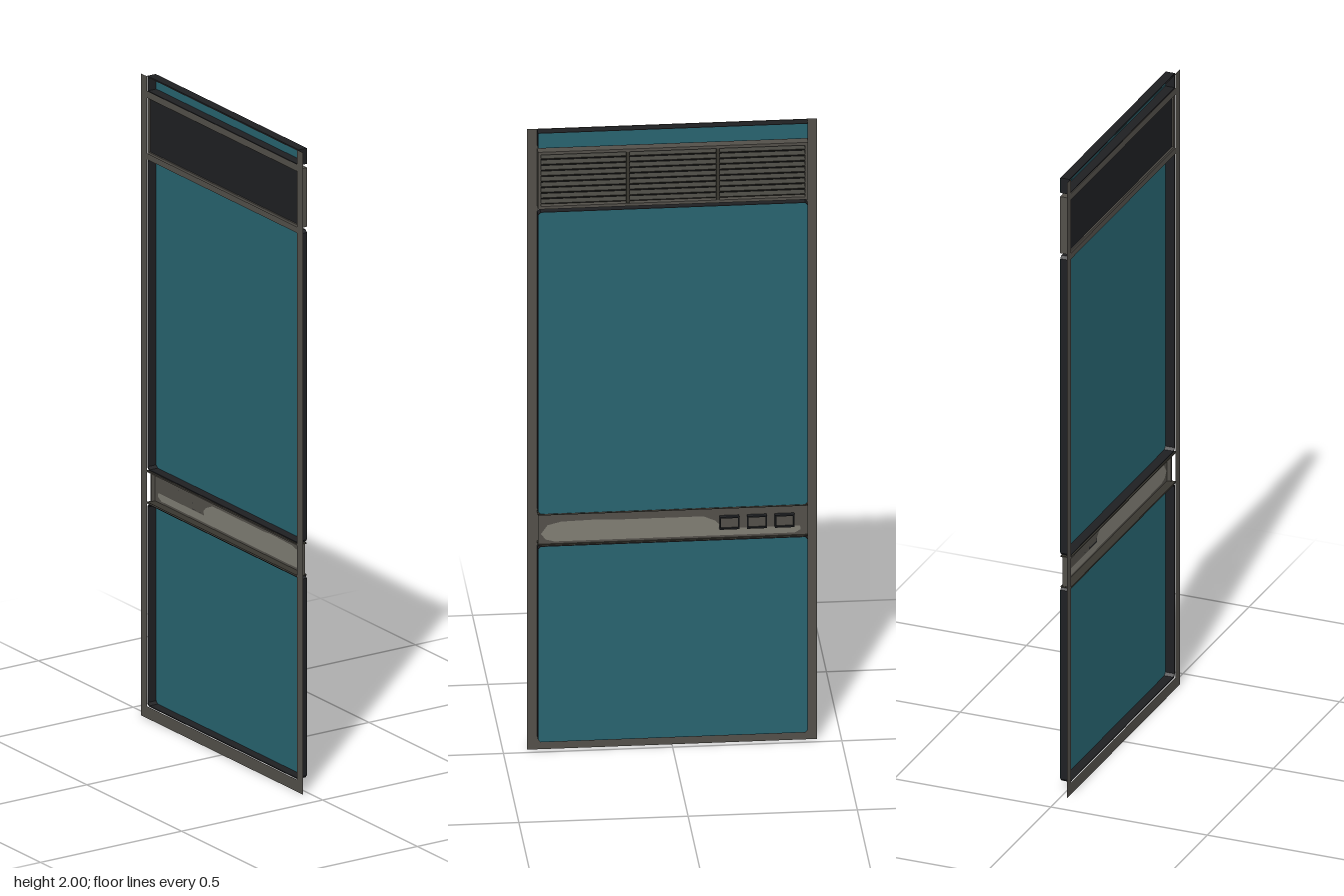
import * as THREE from 'three';

const mat = (name, color) => {
  const m = new THREE.MeshStandardMaterial({ color, side: THREE.DoubleSide, flatShading: true });
  m.name = name;
  return m;
};

export function createModel() {
  const root = new THREE.Group();
  root.name = 'wallPanel';
  const teal = mat('teal', 0x27636f);
  const grey = mat('warmGrey', 0x524f49);
  const pale = mat('paleGrey', 0x7f7d73);
  const black = mat('nearBlack', 0x1e1f22);
  const slatGrey = mat('slatGrey', 0x38362f);

  // Shapes are drawn in (u, y) with u = -z, then turned to face +x.
  const add = (parent, name, geo, material, x = 0) => {
    const mesh = new THREE.Mesh(geo.rotateY(Math.PI / 2), material);
    mesh.name = name;
    mesh.position.x = x;
    parent.add(mesh);
    return mesh;
  };
  const points = (list) => list.map(([u, y]) => new THREE.Vector2(u, y));
  // Rectangle with cut corners
  const outline = (u0, u1, y0, y1, c = 0) => points(c === 0
    ? [[u0, y0], [u1, y0], [u1, y1], [u0, y1]]
    : [[u0 + c, y0], [u1 - c, y0], [u1, y0 + c], [u1, y1 - c],
       [u1 - c, y1], [u0 + c, y1], [u0, y1 - c], [u0, y0 + c]]);
  const sheet = (pts, holes = []) => {
    const s = new THREE.Shape(pts);
    holes.forEach((h) => s.holes.push(new THREE.Path(h)));
    return s;
  };
  const rim = (u0, u1, y0, y1, c, t, depth) => new THREE.ExtrudeGeometry(
    sheet(outline(u0, u1, y0, y1, c), [outline(u0 + t, u1 - t, y0 + t, y1 - t, c)]),
    { depth, bevelEnabled: false });
  const box = (parent, name, material, x, y, z, sx, sy, sz) => {
    const mesh = new THREE.Mesh(new THREE.BoxGeometry(sx, sy, sz), material);
    mesh.name = name;
    mesh.position.set(x, y, z);
    parent.add(mesh);
    return mesh;
  };

  // Flat backing frame with openings behind every panel
  const openings = [[0.035, 0.672], [0.672, 0.768], [0.768, 1.742], [1.758, 1.934], [1.953, 1.999]];
  add(root, 'backFrame', new THREE.ShapeGeometry(sheet(outline(-0.428, 0.428, 0, 2),
    openings.map(([a, b]) => outline(-0.396, 0.396, a + 0.002, b - 0.001)))), grey, -0.021);

  // Hollow teal panels: dark side walls and a thin front sheet
  [['lowerPanel', 0.037, 0.668, 0.008], ['upperPanel', 0.772, 1.745, 0.008], ['topPanel', 1.951, 2, 0]]
    .forEach(([name, y0, y1, c]) => {
      const g = new THREE.Group();
      g.name = name;
      add(g, name + 'Walls', rim(-0.399, 0.399, y0, y1, c, 0.003, 0.029), black, -0.017);
      add(g, name + 'Face', new THREE.ShapeGeometry(
        sheet(outline(-0.398, 0.398, y0 + 0.001, y1 - 0.001, c))), teal, 0.0128);
      root.add(g);
    });

  // Ventilation grille
  const vent = new THREE.Group();
  vent.name = 'ventGrille';
  root.add(vent);
  add(vent, 'ventCasing', rim(-0.399, 0.399, 1.755, 1.939, 0, 0.009, 0.03), grey, -0.017);
  add(vent, 'ventBacking', new THREE.ShapeGeometry(
    sheet(outline(-0.392, 0.392, 1.762, 1.932))), black, -0.012);
  for (const z of [-0.133, 0.133]) box(vent, 'ventDivider', slatGrey, 0.001, 1.847, z, 0.022, 0.168, 0.01);
  for (let i = 0; i < 9; i++) {
    const slat = box(vent, 'ventSlat', slatGrey, 0.002, 1.775 + i * 0.018, 0, 0.016, 0.004, 0.784);
    slat.rotation.z = -0.5;
  }

  // Control strip with a pale inlay between two lips
  const strip = new THREE.Group();
  strip.name = 'controlStrip';
  root.add(strip);
  const inlay = points([[-0.39, 0.705], [-0.375, 0.687], [-0.35, 0.68], [0.36, 0.68], [0.378, 0.69],
    [0.376, 0.702], [0.135, 0.702], [0.138, 0.715], [0.125, 0.728], [0.09, 0.743],
    [-0.18, 0.743], [-0.22, 0.746], [-0.33, 0.743], [-0.37, 0.733]]);
  add(strip, 'stripFace', new THREE.ShapeGeometry(
    sheet(outline(-0.398, 0.398, 0.672, 0.768), [inlay])), grey, 0.006);
  add(strip, 'stripInlay', new THREE.ShapeGeometry(sheet(inlay)), pale, 0.006);
  for (const y of [0.671, 0.769]) box(strip, 'stripLip', slatGrey, -0.005, y, 0, 0.032, 0.004, 0.798);
  for (const z of [-0.395, 0.395]) box(strip, 'stripEnd', grey, -0.001, 0.72, z, 0.014, 0.094, 0.005);

  // Three open switch boxes
  for (const u of [0.1665, 0.2475, 0.3295]) {
    const g = new THREE.Group();
    g.name = 'switch';
    add(g, 'switchRim', rim(u - 0.029, u + 0.029, 0.704, 0.744, 0, 0.004, 0.015), black, 0.006);
    add(g, 'switchFace', new THREE.ShapeGeometry(
      sheet(outline(u - 0.026, u + 0.026, 0.707, 0.741))), grey, 0.014);
    strip.add(g);
  }
  return root;
}
